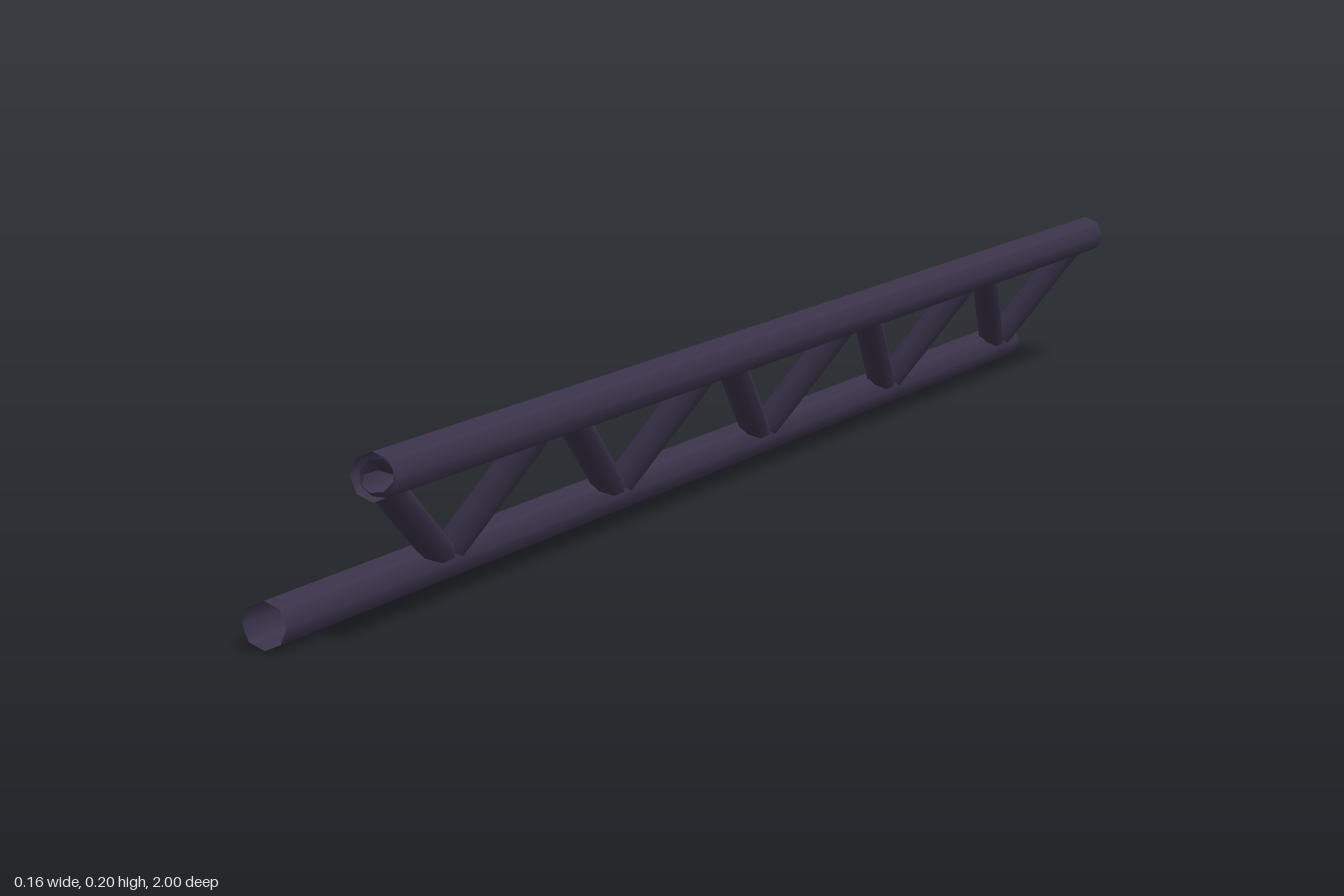
import * as THREE from 'three';

const steel = new THREE.MeshStandardMaterial({ color: 0x3b344b, side: THREE.DoubleSide });
steel.name = 'dark steel';

// Open-ended eight-sided tube between two points
function tube(name, from, to, radius) {
  const axis = to.clone().sub(from);
  const mesh = new THREE.Mesh(
    new THREE.CylinderGeometry(radius, radius, axis.length(), 8, 1, true), steel);
  mesh.name = name;
  mesh.position.copy(from).add(to).multiplyScalar(0.5);
  mesh.quaternion.setFromUnitVectors(new THREE.Vector3(0, 1, 0), axis.normalize());
  return mesh;
}

export function createModel() {
  const model = new THREE.Group();
  model.name = 'trussGirder';

  const railRadius = 0.0238, braceRadius = 0.0168;
  const lower = z => new THREE.Vector3(-0.058, railRadius, z);
  const upper = z => new THREE.Vector3(0.058, 0.172, z);

  // Long chords
  model.add(tube('lowerRail', lower(-1), lower(1), railRadius));
  model.add(tube('upperRail', upper(-1), upper(1), railRadius));

  // One square strut and one diagonal per bay
  for (let i = 0; i < 5; i++) {
    const z = -0.957 + i * 0.4;
    model.add(tube('crossStrut', lower(z), upper(z), braceRadius));
    model.add(tube('diagonalBrace', lower(z), upper(z + 0.35), braceRadius));
  }
  return model;
}
